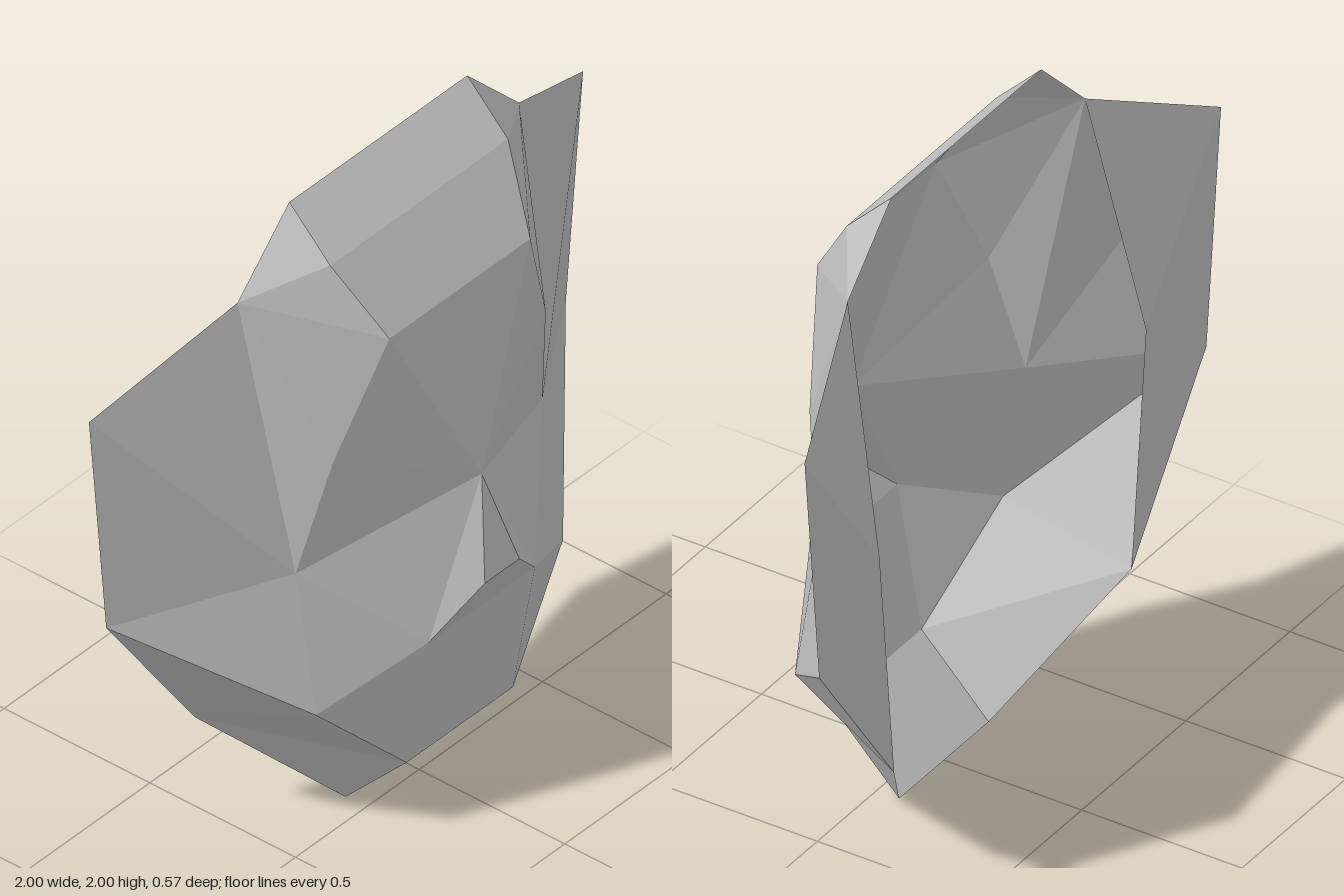
import * as THREE from 'three';

// Corner points of the mask's left half (+x); a lower-case letter means the mirrored point
const points = {
  A: [0.36, 2.0, -0.14], B: [0.36, 1.86, 0], C: [0.285, 1.645, 0.14],        // crown and forehead
  D: [0.57, 1.79, -0.14], E: [1.0, 1.575, -0.285], F: [0.93, 0.86, -0.285],  // temple and outer rim
  G: [0.57, 0.36, -0.285], H: [0.215, 0, -0.07], I: [0.215, 0.215, 0.14],    // jaw and chin
  J: [0.5, 0.5, 0.07], K: [0.5, 0.93, 0], L: [0.43, 1.29, 0.07],             // cheek and eye
  M: [0, 1.075, 0.215], N: [0.07, 0.79, 0.285], O: [0.215, 0.645, 0.215],    // nose
  P: [0.64, 1.075, -0.285],                                                  // inner back rim
};

function corner(letter) {
  const [x, y, z] = points[letter.toUpperCase()];
  return letter === letter.toUpperCase() ? [x, y, z] : [-x, y, z];
}

const swapCase = (s) => s === s.toUpperCase() ? s.toLowerCase() : s.toUpperCase();

// Mirrored face with its winding reversed
const mirror = (face) => [...face].reverse().map(swapCase).join('');

// Flat-faced panel: centre faces are used once, side faces are mirrored
function panel(name, material, centre, sides) {
  const position = [];
  for (const face of [...centre, ...sides, ...sides.map(mirror)]) {
    for (let i = 1; i < face.length - 1; i++) {
      position.push(...corner(face[0]), ...corner(face[i]), ...corner(face[i + 1]));
    }
  }
  const geometry = new THREE.BufferGeometry();
  geometry.setAttribute('position', new THREE.Float32BufferAttribute(position, 3));
  geometry.computeVertexNormals();
  const mesh = new THREE.Mesh(geometry, material);
  mesh.name = name;
  return mesh;
}

export function createModel() {
  const group = new THREE.Group();
  group.name = 'mask';
  const grey = new THREE.MeshStandardMaterial({
    color: 0xc0c0c0, side: THREE.DoubleSide, flatShading: true,
  });
  grey.name = 'light grey';

  group.add(
    panel('forehead', grey, ['abBA', 'bcCB', 'cMC'], ['ABD', 'BCD']),
    panel('eyeSockets', grey, [], ['CLD', 'CML', 'MKL', 'DLK']),
    panel('nose', grey, ['MnN', 'noON'], ['MNO']),
    panel('cheeks', grey, [], ['MOK', 'OJK', 'KJF']),
    panel('temples', grey, [], ['DKE', 'EKF']),
    panel('mouth', grey, ['oiIO'], ['OIJ']),
    panel('jaw', grey, ['ihHI'], ['JGF', 'JIG', 'IHG']),
    panel('backRims', grey, [], ['DEP', 'EFP', 'FGP']),
  );
  return group;
}
